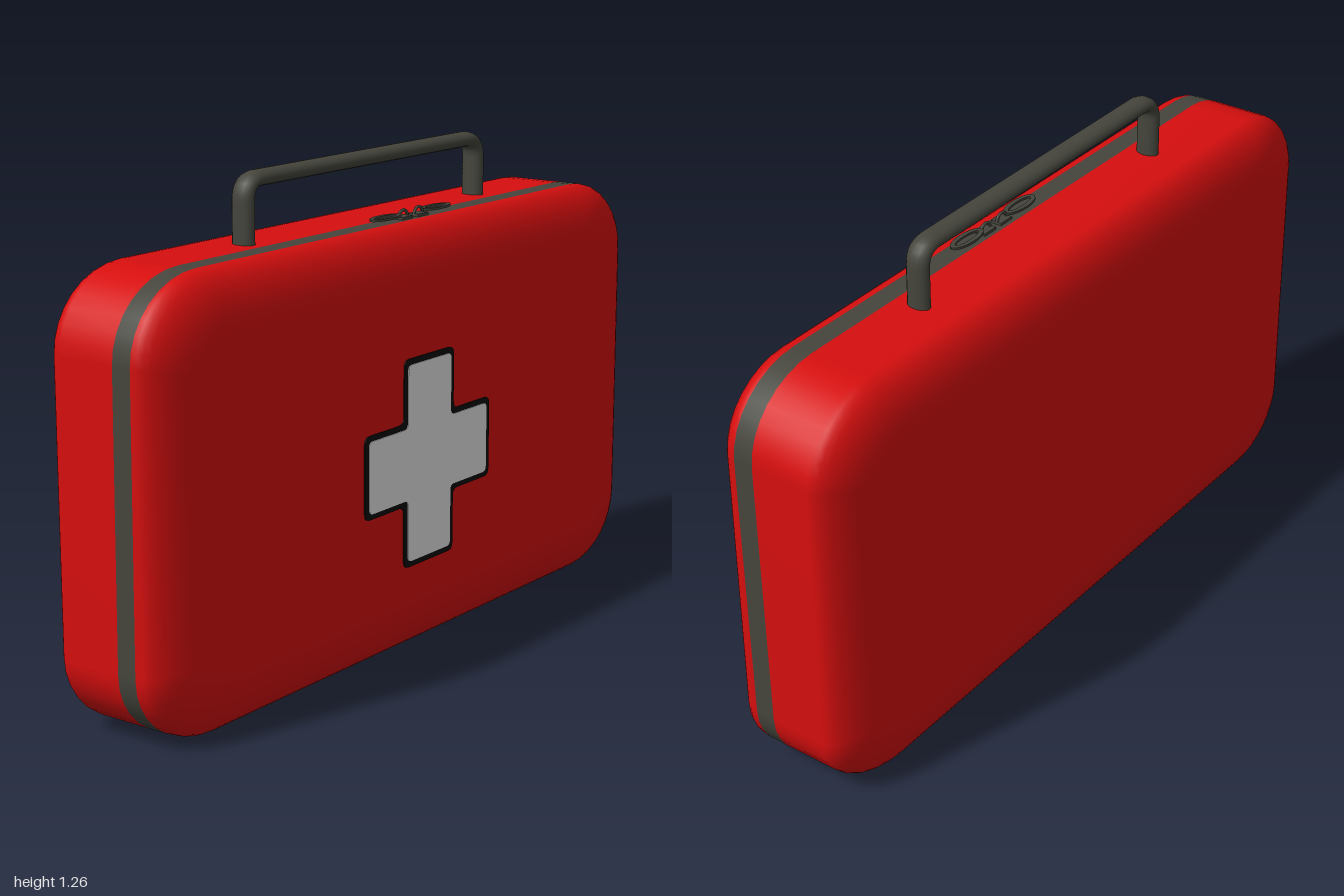
import * as THREE from 'three';

const material = (name, color) => new THREE.MeshStandardMaterial({ name, color });
const red = material('red fabric', 0xd60e0e);
const grey = material('dark grey trim', 0x45453d);
const white = material('white', 0xe7e7e7);
const black = material('black', 0x0a0a0a);

const H = 1.094, MID = H / 2, DEPTH = 0.19, STEPS = 10, ARC = 8;
const LEAN = 0.0075; // the case is turned very slightly about y

function add(group, name, geometry, mat, x = 0, y = 0, z = 0) {
  const mesh = new THREE.Mesh(geometry, mat);
  mesh.name = name;
  mesh.position.set(x, y, z);
  group.add(mesh);
  return mesh;
}

// Rounded-rectangle section, counter-clockwise seen from the front
function section(insetX, insetY) {
  const hw = 1 - insetX, hh = MID - insetY;
  const rx = 0.22 - insetX * 0.75, ry = 0.19 - insetY * 0.75;
  const points = [];
  [[1, 1], [-1, 1], [-1, -1], [1, -1]].forEach(([sx, sy], corner) => {
    for (let i = 0; i <= ARC; i++) {
      const a = (corner + i / ARC) * Math.PI / 2;
      points.push([sx * (hw - rx) + rx * Math.cos(a), sy * (hh - ry) + ry * Math.sin(a)]);
    }
  });
  return points;
}

// Case lofted from back to front, with the zip band running over three sides
function caseGeometry() {
  const rings = [];
  const edge = (side) => (k) => {
    const a = (k / STEPS) * Math.PI / 2;
    return { z: side * (0.105 + (DEPTH - 0.105) * Math.sin(a)), inset: 1 - Math.cos(a), tilt: 0 };
  };
  for (let k = STEPS; k >= 0; k--) rings.push(edge(-1)(k));
  const bandRow = rings.length;
  rings.push({ z: 0.048, inset: 0, tilt: 0.009 }, { z: 0.1, inset: 0, tilt: 0.009 });
  for (let k = 1; k <= STEPS; k++) rings.push(edge(1)(k));

  const pos = [], n = 4 * (ARC + 1);
  for (const { z, inset, tilt } of rings) {
    for (const [x, y] of section(inset * 0.2, inset * 0.16)) {
      pos.push(x, y + MID, z + LEAN * x + tilt * y);
    }
  }
  const faces = [[], []];
  for (let i = 0; i < rings.length - 1; i++) {
    for (let j = 0; j < n; j++) {
      const k = (j + 1) % n;
      const a = i * n + j, b = i * n + k, c = b + n, d = a + n;
      // the band stops low on the two bottom corners
      const lowest = Math.min(pos[a * 3 + 1], pos[b * 3 + 1]);
      faces[i === bandRow && lowest > 0.015 ? 1 : 0].push(a, b, c, a, c, d);
    }
  }
  // Flat back and front panels
  const back = pos.length / 3, front = back + 1, last = (rings.length - 1) * n;
  pos.push(0, MID, -DEPTH, 0, MID, DEPTH);
  for (let j = 0; j < n; j++) {
    const k = (j + 1) % n;
    faces[0].push(back, k, j, front, last + j, last + k);
  }
  const geo = new THREE.BufferGeometry();
  geo.setAttribute('position', new THREE.Float32BufferAttribute(pos, 3));
  geo.setIndex([...faces[0], ...faces[1]]);
  geo.addGroup(0, faces[0].length, 0);
  geo.addGroup(faces[0].length, faces[1].length, 1);
  geo.computeVertexNormals();
  return geo;
}

// Plus-shaped plate with slightly rounded corners
function crossGeometry(size, arm, depth, r) {
  const corners = [[arm, arm], [arm, size], [-arm, size], [-arm, arm], [-size, arm], [-size, -arm],
    [-arm, -arm], [-arm, -size], [arm, -size], [arm, -arm], [size, -arm], [size, arm]]
    .map(([x, y]) => new THREE.Vector2(x, y));
  const shape = new THREE.Shape();
  corners.forEach((p, i) => {
    const toward = (q) => p.clone().add(q.clone().sub(p).setLength(r));
    const start = toward(corners[(i + 11) % 12]), end = toward(corners[(i + 1) % 12]);
    if (i === 0) shape.moveTo(start.x, start.y);
    else shape.lineTo(start.x, start.y);
    shape.quadraticCurveTo(p.x, p.y, end.x, end.y);
  });
  shape.closePath();
  return new THREE.ExtrudeGeometry(shape, { depth, bevelEnabled: false, curveSegments: 4 });
}

// Flat wide handle: an oval tube with two rounded bends
function handleGeometry() {
  const v = (x, y) => new THREE.Vector3(x, y, 0);
  const x = 0.48, top = 1.245, r = 0.05;
  const path = new THREE.CurvePath();
  path.add(new THREE.LineCurve3(v(-x, 1.07), v(-x, top - r)));
  path.add(new THREE.QuadraticBezierCurve3(v(-x, top - r), v(-x, top), v(-x + r, top)));
  path.add(new THREE.LineCurve3(v(-x + r, top), v(x - r, top)));
  path.add(new THREE.QuadraticBezierCurve3(v(x - r, top), v(x, top), v(x, top - r)));
  path.add(new THREE.LineCurve3(v(x, top - r), v(x, 1.07)));
  return new THREE.TubeGeometry(path, 120, 0.02, 16).scale(1, 1, 1.55);
}

// Flat oval ring pull lying on the case
function pullGeometry() {
  const shape = new THREE.Shape().absellipse(0, 0, 0.06, 0.023, 0, Math.PI * 2);
  shape.holes.push(new THREE.Path().absellipse(0, 0, 0.045, 0.011, 0, Math.PI * 2));
  return new THREE.ExtrudeGeometry(shape, { depth: 0.006, bevelEnabled: false, curveSegments: 10 })
    .rotateX(-Math.PI / 2);
}

export function createModel() {
  const model = new THREE.Group();
  model.name = 'firstAidCase';
  add(model, 'caseBody', caseGeometry(), [red, grey]);
  add(model, 'handle', handleGeometry(), grey, -0.003, 0, -0.007);

  // Cross emblem with a dark border
  const cross = new THREE.Group();
  cross.name = 'cross';
  cross.position.set(-0.005, 0.505, DEPTH);
  cross.rotation.y = -LEAN;
  add(cross, 'crossBorder', crossGeometry(0.268, 0.106, 0.003, 0.02), black);
  add(cross, 'crossFace', crossGeometry(0.253, 0.092, 0.005, 0.015), white);
  model.add(cross);

  // Two mirrored zip sliders with their pulls
  for (const side of [-1, 1]) {
    const zip = new THREE.Group();
    zip.name = side < 0 ? 'rightZip' : 'leftZip';
    zip.position.set(0.07, H, 0.08);
    add(zip, 'slider', new THREE.BoxGeometry(0.045, 0.008, 0.03), grey, side * 0.033, 0.003);
    add(zip, 'sliderLoop', new THREE.TorusGeometry(0.019, 0.004, 8, 16, Math.PI), grey, side * 0.033, 0.003);
    add(zip, 'pull', pullGeometry(), grey, side * 0.108, 0.009);
    model.add(zip);
  }
  return model;
}
